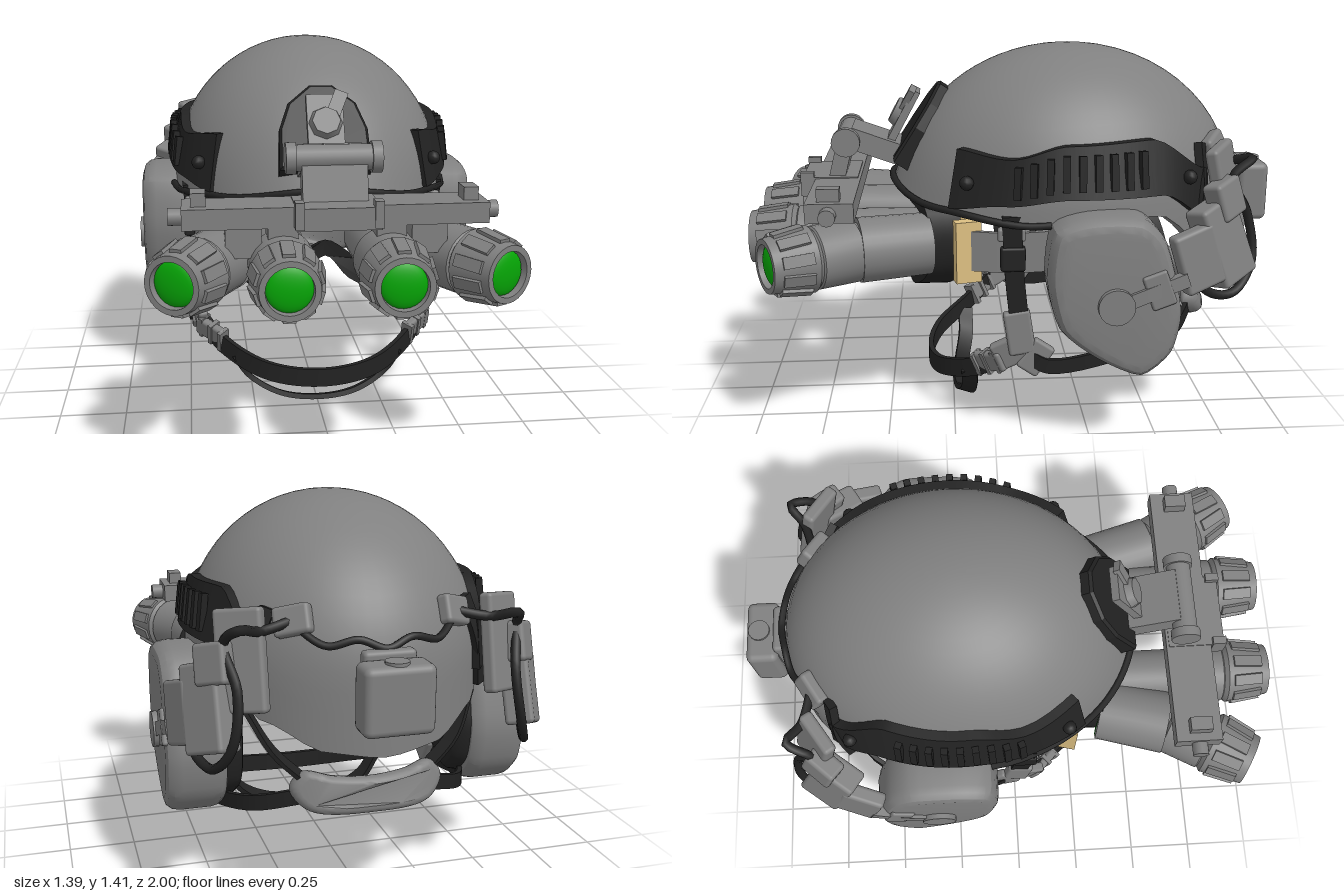
import * as THREE from 'three';
import { toCreasedNormals } from 'three/addons/utils/BufferGeometryUtils.js';
import { RoundedBoxGeometry } from 'three/addons/geometries/RoundedBoxGeometry.js';

const V = (x, y, z) => new THREE.Vector3(x, y, z);
const paint = (name, color) => Object.assign(new THREE.MeshStandardMaterial({ color }), { name });

// Smooth lookup in a short table of [key, value, ...]
function lookup(table, k) {
  if (k <= table[0][0]) return table[0].slice(1);
  for (let i = 1; i < table.length; i++) {
    const [p, q] = [table[i - 1], table[i]];
    if (k <= q[0]) {
      const t = THREE.MathUtils.smoothstep(k, p[0], q[0]);
      return p.slice(1).map((v, j) => v + (q[j + 1] - v) * t);
    }
  }
  return table[table.length - 1].slice(1);
}

// Skin over closed rings of points, optionally capped at both ends
function loft(rings, caps = true, crease = 0.6) {
  const m = rings[0].length, pos = rings.flat().flatMap(p => p.toArray()), idx = [];
  for (let i = 0; i < rings.length - 1; i++) for (let j = 0; j < m; j++) {
    const a = i * m + j, b = i * m + (j + 1) % m;
    idx.push(a, a + m, b + m, a, b + m, b);
  }
  if (caps) for (const end of [0, rings.length - 1]) {
    const c = pos.length / 3, mid = V(0, 0, 0);
    rings[end].forEach(p => mid.addScaledVector(p, 1 / m));
    pos.push(...mid.toArray());
    for (let j = 0; j < m; j++) {
      const a = end * m + j, b = end * m + (j + 1) % m;
      idx.push(c, ...(end ? [b, a] : [a, b]));
    }
  }
  const g = new THREE.BufferGeometry();
  g.setAttribute('position', new THREE.Float32BufferAttribute(pos, 3));
  g.setIndex(idx);
  return toCreasedNormals(g, crease);
}

// Flat strap swept along a curve; side is the direction of its width
function strap(points, width, thick, side, n = 24) {
  const curve = new THREE.CatmullRomCurve3(points), rings = [];
  for (let i = 0; i <= n; i++) {
    const p = curve.getPoint(i / n), T = curve.getTangent(i / n);
    const N = T.clone().cross(side).normalize(), U = N.clone().cross(T);
    rings.push([[1, -1], [1, 1], [-1, 1], [-1, -1]].map(([a, b]) =>
      p.clone().addScaledVector(N, a * thick / 2).addScaledVector(U, b * width / 2)));
  }
  return loft(rings);
}

const cable = (pts, r = 0.013) => new THREE.TubeGeometry(new THREE.CatmullRomCurve3(pts), 48, r, 7);
const place = (g, x, y, z, rx = 0, ry = 0, rz = 0) => g.applyMatrix4(new THREE.Matrix4()
  .makeRotationFromEuler(new THREE.Euler(rx, ry, rz)).setPosition(x, y, z));
const box = (w, h, d, ...at) => place(new THREE.BoxGeometry(w, h, d), ...at);
const soft = (w, h, d, r, ...at) => place(new RoundedBoxGeometry(w, h, d, 3, r), ...at);
const rodX = (r, len, x, y, z, n = 20) => place(new THREE.CylinderGeometry(r, r, len, n), x, y, z, 0, 0, Math.PI / 2);

// Symmetric smooth outline from its +x half, and a bend of a flat part around the head
const outline = half => new THREE.CatmullRomCurve3([...half, ...half.slice(1, -1).reverse().map(([x, y]) => [-x, y])]
  .map(([x, y]) => V(x, y, 0)), true).getPoints(72).map(p => new THREE.Vector2(p.x, p.y));
function bend(g, k) {
  const p = g.attributes.position;
  for (let i = 0; i < p.count; i++) p.setZ(i, p.getZ(i) + k * p.getX(i) ** 2);
  return toCreasedNormals(g, 0.7);
}

function mirrored(geo) {
  const g = (geo.index ? geo.toNonIndexed() : geo.clone()).scale(-1, 1, 1);
  for (const { array, itemSize: s } of Object.values(g.attributes))
    for (let i = 0; i < array.length; i += 3 * s) for (let k = 0; k < s; k++)
      [array[i + s + k], array[i + 2 * s + k]] = [array[i + 2 * s + k], array[i + s + k]];
  return g;
}

// Shell dimensions: point at angle a (0 = front, PI/2 = side) and height y
const W = 0.54, L = 0.65, ZC = -0.21, MID = 0.85, DOME = 0.56;
const girth = y => y > MID ? Math.sqrt(Math.max(0, 1 - ((y - MID) / DOME) ** 2)) : 1;
const onShell = (a, y, off = 0) =>
  V(Math.sin(a) * (W * girth(y) + off), y, ZC + Math.cos(a) * (L * girth(y) + off));
const rimTable = [[0, 0.9], [0.75, 0.85], [1.3, 0.82], [1.65, 0.85], [2, 0.85], [2.4, 0.7], [2.8, 0.62], [3.15, 0.6]];
const rim = a => lookup(rimTable, Math.abs(Math.atan2(Math.sin(a), Math.cos(a))))[0];

function helmetShell() {
  const rings = [], n = 64, m = 18;
  for (const inner of [0, 1]) for (let k = 0; k <= m; k++) {
    const v = (inner ? m - k : k) / m;
    rings.push(Array.from({ length: n }, (_, j) => {
      const a = j / n * Math.PI * 2, low = rim(a);
      const y = low + (MID + DOME - low) * Math.cos(v * Math.PI / 2);
      const p = onShell(a, y, 0.03 * Math.max(0, Math.cos(a)) ** 2 * v ** 8);
      if (inner) p.set(p.x * 0.94, y > MID ? MID + (y - MID) * 0.94 : y, ZC + (p.z - ZC) * 0.94);
      return p;
    }));
  }
  return loft(rings, false, 0.7);
}

export function createModel() {
  const root = new THREE.Group();
  root.name = 'helmetWithNightVision';
  const grey = paint('grey', 0x808080), black = paint('black', 0x222222);
  const green = paint('lensGreen', 0x06a606), tan = paint('tan', 0xdcbf82);
  const add = (name, mat, geo) => {
    const mesh = new THREE.Mesh(geo, mat);
    mesh.name = name;
    root.add(mesh);
  };
  const pair = (name, mat, geo) => {
    add(name + 'Left', mat, geo);
    add(name + 'Right', mat, mirrored(geo));
  };

  // Helmet shell and brim trim
  add('helmetShell', grey, helmetShell());
  add('brimTrim', black, cable(Array.from({ length: 25 }, (_, i) => {
    const a = (i / 12 - 1) * 1.4;
    return onShell(a, rim(a) + 0.01, 0.012 + 0.025 * Math.cos(a) ** 2);
  }), 0.013));

  // Side rails following the shell, with ribs and screws
  const railTable = [[0.8, 0.87, 1.08], [1.15, 0.9, 1.06], [1.5, 0.93, 1.11], [2, 0.93, 1.12], [2.35, 0.82, 1]];
  const railRings = Array.from({ length: 29 }, (_, i) => {
    const a = 0.8 + 1.55 * i / 28, [lo, hi] = lookup(railTable, a);
    return [onShell(a, hi, 0.035), onShell(a, hi, -0.02), onShell(a, lo, -0.02), onShell(a, lo, 0.03)];
  });
  pair('rail', black, loft(railRings));
  for (let i = 0; i < 9; i++) {
    const a = 1.22 + i * 0.085, [lo, hi] = lookup(railTable, a), p = onShell(a, (lo + hi) / 2, 0.035);
    pair('railRib', black, box(0.025, (hi - lo) * 0.7, 0.025, p.x, p.y, p.z, 0, a - Math.PI / 2, 0.12));
  }
  for (const a of [0.92, 2.2]) {
    const p = onShell(a, a < 1 ? 0.97 : 0.98, 0.035);
    pair('railScrew', black, place(new THREE.SphereGeometry(0.026, 12, 8), p.x, p.y, p.z));
  }

  // Front shroud, mount plate and folding arm
  const shroud = new THREE.Shape([[-0.16, 0], [0.16, 0], [0.155, 0.15], [0.12, 0.25], [0.04, 0.32], [-0.04, 0.32], [-0.12, 0.25], [-0.155, 0.15]]
    .map(p => new THREE.Vector2(...p)));
  add('shroud', black, place(new THREE.ExtrudeGeometry(shroud, { depth: 0.07, bevelSize: 0.01, bevelThickness: 0.01, bevelSegments: 1, bevelOffset: -0.005 }),
    0, 0.95, 0.4, -0.58));
  add('mountPlate', grey, box(0.13, 0.26, 0.03, 0, 1.12, 0.435, -0.5));
  add('mountLever', grey, box(0.05, 0.09, 0.025, 0.045, 1.21, 0.405, -0.5, 0, -0.4));
  add('mountBolt', grey, place(new THREE.CylinderGeometry(0.05, 0.065, 0.04, 8), 0, 1.15, 0.445, Math.PI / 2 - 0.5));
  add('mountArm', grey, box(0.2, 0.08, 0.22, 0, 1.03, 0.53, -0.35));
  add('mountHinge', grey, rodX(0.045, 0.27, 0, 1.06, 0.64));
  pair('hingeCap', grey, rodX(0.054, 0.035, 0.145, 1.06, 0.64));
  add('lowerArm', grey, box(0.22, 0.16, 0.06, 0, 0.98, 0.665, -0.25));

  // Bridge carrying the four tubes
  add('bridge', grey, box(1.02, 0.07, 0.17, 0, 0.885, 0.675));
  add('bridgeCentre', grey, box(0.28, 0.075, 0.21, 0, 0.887, 0.705));
  pair('bridgeClamp', grey, box(0.12, 0.12, 0.14, 0.31, 0.81, 0.68));
  pair('innerClamp', grey, box(0.1, 0.08, 0.12, 0.18, 0.83, 0.7));
  pair('bridgeKnob', grey, rodX(0.03, 0.05, 0.53, 0.88, 0.68, 12));
  pair('bridgePost', grey, box(0.05, 0.06, 0.08, 0.455, 0.935, 0.68));
  pair('bridgeLug', grey, box(0.03, 0.09, 0.05, 0.13, 0.9, 0.79));

  // Night vision tubes: start trims the rear of the body
  const tube = (start, x, z, yaw) => {
    const turn = g => place(g.rotateX(Math.PI / 2), x, 0.71, z, 0, yaw, 0);
    const profile = [[0, start], [0.1, start], [0.1, 0.31], [0.115, 0.32], [0.115, 0.47], [0.108, 0.475],
      [0.122, 0.49], [0.098, 0.65], [0.078, 0.65], [0.075, 0.6]].map(p => new THREE.Vector2(...p));
    pair('tubeBody', grey, toCreasedNormals(turn(new THREE.LatheGeometry(profile, 28)), 0.5));
    const lens = new THREE.SphereGeometry(0.077, 24, 8, 0, Math.PI * 2, 0, Math.PI / 2).scale(1, 0.3, 1).translate(0, 0.622, 0);
    pair('frontLens', green, turn(lens));
    for (let i = 0; i < 10; i++) {
      const a = i * Math.PI / 5;
      pair('focusGrip', grey, turn(box(0.042, 0.11, 0.016, 0, 0, 0).rotateX(-0.14).translate(0, 0.565, 0.112).rotateY(a)));
    }
  };
  tube(0, 0.18, 0.35, 0);
  tube(0.22, 0.23, 0.33, 0.505);
  const yaw = 0.26;
  pair('eyepiece', grey, place(new THREE.CylinderGeometry(0.12, 0.115, 0.26, 28), 0.345, 0.71, 0.465, Math.PI / 2, 0, -yaw));
  pair('rearLens', green, place(new THREE.CircleGeometry(0.108, 28), 0.311, 0.71, 0.336, 0, Math.PI + yaw, 0));

  // Goggle frame, bent around the face
  const frame = new THREE.Shape(outline([[0, 0.89], [0.2, 0.885], [0.32, 0.86], [0.37, 0.75], [0.35, 0.61], [0.21, 0.52], [0.09, 0.57], [0, 0.66]]));
  frame.holes.push(new THREE.Path(outline([[0, 0.845], [0.2, 0.84], [0.29, 0.82], [0.325, 0.75], [0.3, 0.68], [0.21, 0.63], [0.12, 0.65], [0, 0.72]])));
  const goggles = new THREE.ExtrudeGeometry(frame, { depth: 0.12, bevelEnabled: false, steps: 2 });
  add('goggleFrame', black, bend(goggles.translate(0, 0, 0.31), -0.75));
  pair('goggleStrapEnd', tan, box(0.045, 0.23, 0.095, 0.405, 0.705, 0.195, 0, 0.25, 0));
  pair('goggleStrap', grey, strap([V(0.41, 0.71, 0.2), V(0.445, 0.71, 0.05), V(0.46, 0.72, -0.12), V(0.45, 0.74, -0.3)], 0.15, 0.02, V(0, 1, 0)));

  // Ear cups with cushion, boss and link
  const cupPoints = [[0.1, 0.84], [0.22, 0.885], [0.4, 0.88], [0.49, 0.79], [0.55, 0.55], [0.52, 0.39], [0.41, 0.3], [0.25, 0.37], [0.12, 0.48], [0.075, 0.66]];
  const cupPart = (scale, depth, x) => {
    const curve = new THREE.CatmullRomCurve3(cupPoints.map(([s, y]) =>
      V(0.31 + (s - 0.31) * scale, 0.61 + (y - 0.61) * scale, 0)), true, 'catmullrom', 0.35);
    const shape = new THREE.Shape(curve.getPoints(40).map(p => new THREE.Vector2(p.x, p.y)));
    const g = new THREE.ExtrudeGeometry(shape, { depth, bevelSize: 0.045, bevelThickness: 0.055, bevelOffset: -0.045, bevelSegments: 3 });
    return toCreasedNormals(g.rotateY(Math.PI / 2).translate(x, 0, 0), 0.5);
  };
  pair('earCup', grey, cupPart(1, 0.11, 0.51));
  pair('earCushion', black, cupPart(0.88, 0.05, 0.45));
  pair('earBoss', grey, rodX(0.065, 0.06, 0.665, 0.58, -0.31));
  pair('earLink', grey, strap([V(0.67, 0.58, -0.32), V(0.67, 0.62, -0.42), V(0.66, 0.67, -0.56)], 0.05, 0.035, V(0, 1, 0), 8));
  pair('earLinkBlock', grey, soft(0.05, 0.13, 0.09, 0.01, 0.66, 0.635, -0.46, 0.35));

  // Arms joining the ear cups to the rails
  pair('armHead', grey, soft(0.06, 0.22, 0.16, 0.015, 0.625, 0.73, -0.6, 0.3, 0.3, 0));
  pair('armBody', grey, soft(0.1, 0.3, 0.17, 0.015, 0.55, 0.77, -0.7, 0.35, 0.6, 0));
  pair('armTop', grey, soft(0.08, 0.14, 0.13, 0.015, 0.53, 0.92, -0.71, 0.3, 0.7, 0));
  pair('armPlate', grey, soft(0.17, 0.34, 0.05, 0.015, 0.45, 0.93, -0.735, 0.22, -0.6, 0));

  // Rear pouch, cable clips, strips and cables
  add('rearPouch', grey, soft(0.24, 0.23, 0.12, 0.025, 0, 0.83, -0.94));
  add('pouchBase', grey, soft(0.18, 0.28, 0.05, 0.015, 0, 0.83, -0.87));
  add('pouchButton', grey, place(new THREE.CylinderGeometry(0.04, 0.04, 0.012, 16), 0, 0.948, -0.95));
  const onBack = (a, y, off = 0.015) => onShell(Math.PI - a, y, off);
  const clip = onBack(0.57, 1.05, 0.012);
  pair('cableClip', grey, soft(0.13, 0.1, 0.05, 0.015, clip.x, clip.y, clip.z, 0.45, -0.6, 0));
  pair('rearStrip', black, strap([onBack(0.74, 1.08), onBack(0.82, 0.92), onBack(0.88, 0.76)], 0.05, 0.03, V(1, 0.3, 0.6), 12));
  add('rearCable', black, cable([onBack(-0.57, 1.04), onBack(-0.36, 0.98), onBack(-0.17, 1), onBack(0, 0.97),
    onBack(0.17, 1), onBack(0.36, 0.98), onBack(0.57, 1.04)]));
  pair('sideCable', black, cable([clip, V(0.4, 1.03, -0.77), V(0.47, 1.05, -0.82), V(0.51, 0.99, -0.74), V(0.48, 0.85, -0.81),
    V(0.5, 0.68, -0.83), V(0.55, 0.58, -0.76), V(0.59, 0.59, -0.66), V(0.62, 0.7, -0.56)], 0.017));

  // Retention straps, buckles, nape pad and chin straps
  const pad = new THREE.Shape(outline([[0, 0.045], [0.13, 0.055], [0.23, 0.075], [0.275, 0.015], [0.22, -0.06], [0, -0.08]]));
  const napePad = new THREE.ExtrudeGeometry(pad, { depth: 0.02, bevelSize: 0.025, bevelThickness: 0.025, bevelOffset: -0.025, bevelSegments: 4 });
  add('napePad', grey, place(bend(napePad, 0.8), 0, 0.44, -0.735, 0.2));
  pair('napeHanger', black, strap([V(0.22, 0.47, -0.67), V(0.33, 0.58, -0.65), V(0.41, 0.72, -0.58)], 0.05, 0.015, V(0, 0.5, 1), 10));
  pair('sideStrap', black, strap([V(0.5, 0.86, 0.04), V(0.485, 0.65, 0.03), V(0.47, 0.45, 0.01)], 0.07, 0.02, V(0, 0, 1)));
  pair('strapSlider', grey, soft(0.035, 0.05, 0.1, 0.01, 0.485, 0.79, 0.04));
  pair('strapLoop', black, soft(0.04, 0.09, 0.09, 0.01, 0.488, 0.7, 0.035));
  pair('napeStrap', black, strap([V(0.22, 0.42, -0.68), V(0.38, 0.37, -0.58), V(0.48, 0.32, -0.35), V(0.49, 0.28, -0.1), V(0.475, 0.31, -0.03)], 0.055, 0.018, V(0, 1, 0)));
  pair('buckleUpper', grey, soft(0.04, 0.17, 0.1, 0.012, 0.468, 0.41, 0.01, 0.15));
  pair('buckleRear', grey, soft(0.035, 0.13, 0.09, 0.012, 0.47, 0.31, -0.05, -0.6));
  pair('buckleFront', grey, soft(0.04, 0.11, 0.13, 0.012, 0.455, 0.33, 0.04, 0.5, -0.2, 0));
  pair('ladderLock', grey, soft(0.035, 0.08, 0.14, 0.012, 0.415, 0.275, 0.115, 0.4, -0.8, 0));
  for (let i = 0; i < 3; i++)
    pair('ladderBar', grey, box(0.05, 0.09, 0.018, 0.44 - i * 0.035, 0.29 - i * 0.02, 0.085 + i * 0.035, 0.4, -0.8, 0));
  const across = half => [...half, ...half.slice(0, -1).reverse().map(p => V(-p.x, p.y, p.z))];
  add('chinStrap', black, strap(across([V(0.45, 0.31, 0.06), V(0.36, 0.23, 0.17), V(0.2, 0.17, 0.3), V(0, 0.15, 0.34)]), 0.07, 0.02, V(0, 1, 0), 40));
  add('chinLoop', black, strap(across([V(0.33, 0.2, 0.19), V(0.27, 0.11, 0.19), V(0.15, 0.04, 0.21), V(0, 0.02, 0.22)]), 0.06, 0.02, V(0, 0.35, 1), 40));
  return root;
}
